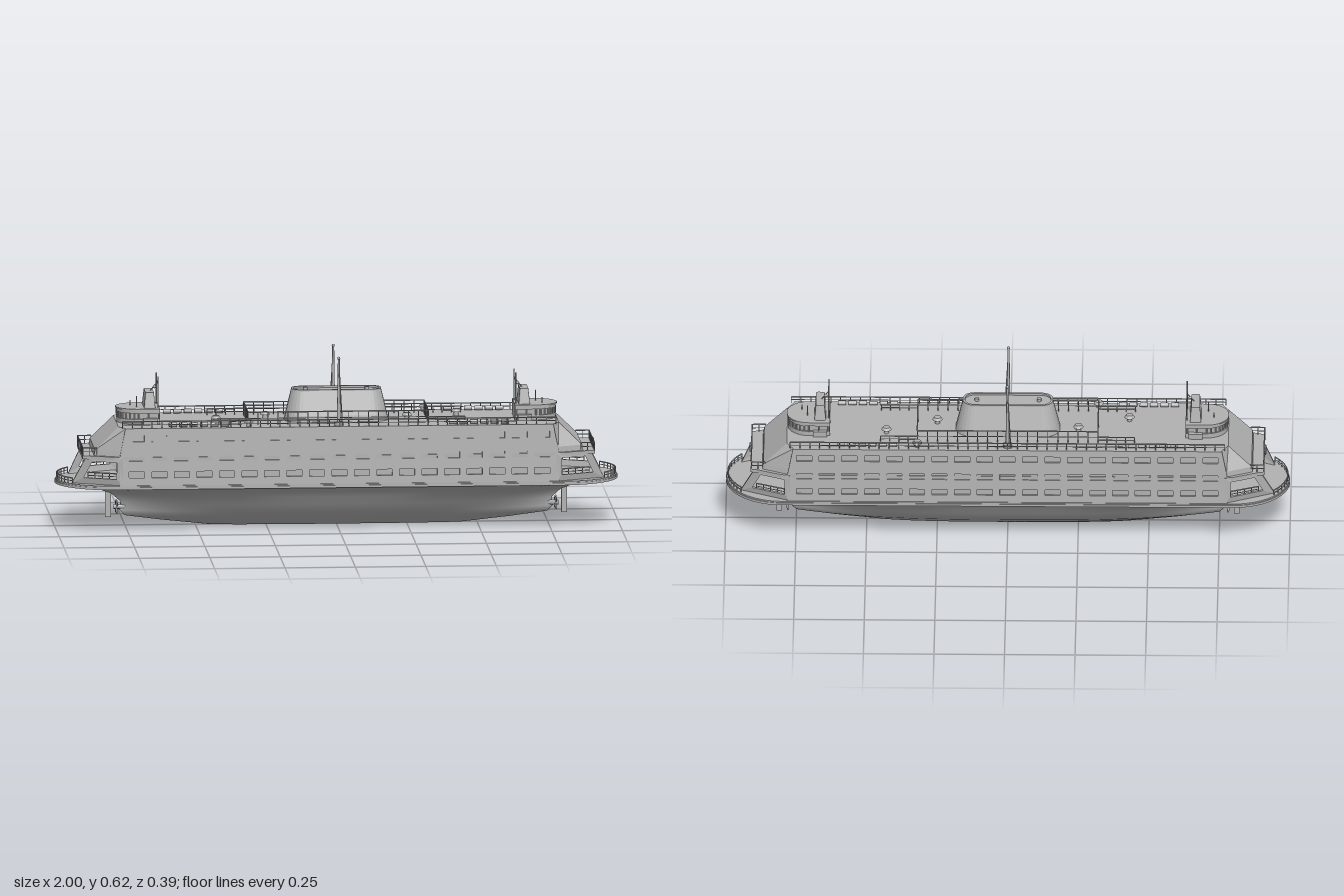
import * as THREE from 'three';
import { mergeGeometries } from 'three/addons/utils/BufferGeometryUtils.js';

const grey = new THREE.MeshStandardMaterial({ color: 0xb2b2b2, side: THREE.DoubleSide });
grey.name = 'hull grey';
const V = (x, y, z) => new THREE.Vector3(x, y, z);
const ROOF = 0.373, DECK = 0.17;

function add(parent, name, geo) {
  const m = new THREE.Mesh(geo, grey);
  m.name = name;
  parent.add(m);
  return m;
}
const merge = (list) => mergeGeometries(list.map((g) => {
  const n = g.index ? g.toNonIndexed() : g;
  n.deleteAttribute('uv');
  return n;
}));
const box = (w, h, d, x, y, z) => new THREE.BoxGeometry(w, h, d).translate(x, y, z);
const cyl = (r0, r1, h, x, y, z, n = 14) => new THREE.CylinderGeometry(r1, r0, h, n).translate(x, y + h / 2, z);

// round bar between two points
function bar(a, b, r = 0.002) {
  const d = b.clone().sub(a);
  const g = new THREE.CylinderGeometry(r, r, d.length(), 5);
  g.applyQuaternion(new THREE.Quaternion().setFromUnitVectors(V(0, 1, 0), d.normalize()));
  return g.translate((a.x + b.x) / 2, (a.y + b.y) / 2, (a.z + b.z) / 2);
}

// railing along a list of [x, z] points
function rail(pts, y, h, step = 0.03, rows = 2) {
  const out = [];
  for (let i = 0; i + 1 < pts.length; i++) {
    const a = V(pts[i][0], y, pts[i][1]), b = V(pts[i + 1][0], y, pts[i + 1][1]);
    for (let k = 1; k <= rows; k++) {
      const up = V(0, h * k / rows, 0);
      out.push(bar(a.clone().add(up), b.clone().add(up), k === rows ? 0.0025 : 0.0015));
    }
    const n = Math.max(1, Math.round(a.distanceTo(b) / step));
    for (let k = 0; k <= n; k++) {
      const p = a.clone().lerp(b, k / n);
      out.push(bar(p, p.clone().add(V(0, h, 0)), 0.0018));
    }
  }
  return merge(out);
}

// faceted skin through closed rings of points, capped at both ends
function loft(rings) {
  const p = [], n = rings[0].length;
  const tri = (...v) => v.forEach((q) => p.push(q.x, q.y, q.z));
  for (let r = 0; r + 1 < rings.length; r++) for (let i = 0; i < n; i++) {
    const j = (i + 1) % n, A = rings[r], B = rings[r + 1];
    tri(A[i], A[j], B[j]);
    tri(A[i], B[j], B[i]);
  }
  const lo = rings[0], hi = rings[rings.length - 1];
  for (let i = 1; i + 1 < n; i++) {
    tri(lo[0], lo[i + 1], lo[i]);
    tri(hi[0], hi[i], hi[i + 1]);
  }
  const g = new THREE.BufferGeometry();
  g.setAttribute('position', new THREE.Float32BufferAttribute(p, 3));
  g.computeVertexNormals();
  return g;
}
// rounded-rectangle ring, anticlockwise seen from above
function roundRing(hx, hz, r, y, cx = 0) {
  const pts = [];
  [[1, 1], [-1, 1], [-1, -1], [1, -1]].forEach(([sx, sz], q) => {
    for (let i = 0; i <= 6; i++) {
      const a = (q + i / 6) * Math.PI / 2;
      pts.push(V(cx + sx * (hx - r) + r * Math.cos(a), y, -(sz * (hz - r) + r * Math.sin(a))));
    }
  });
  return pts;
}
const slab = (shape, y, h) => new THREE.ExtrudeGeometry(shape, { depth: h, bevelEnabled: false, curveSegments: 20 })
  .rotateX(-Math.PI / 2).translate(0, y, 0);
const polygon = (pts) => new THREE.Shape(pts.map(([x, y]) => new THREE.Vector2(x, y)));
function rectHole(shape, x, y, w, h) {
  shape.holes.push(new THREE.Path([[-1, -1], [-1, 1], [1, 1], [1, -1]].map(([a, b]) => new THREE.Vector2(x + a * w / 2, y + b * h / 2))));
}

// hull lofted from waterlines: [y, half length, half beam, fullness, end power]
function hullGeometry() {
  const lines = [[0, 0.45, 0.021, 3, 0.7], [0.018, 0.62, 0.045, 3, 0.9], [0.035, 0.75, 0.07, 3, 1], [0.055, 0.77, 0.092, 3, 1],
    [0.085, 0.765, 0.115, 3.2, 1], [0.115, 0.8, 0.134, 3.6, 0.9], [0.135, 0.86, 0.15, 4.5, 0.8], [0.158, 0.985, 0.187, 7, 0.6]];
  const N = 48, pos = [], idx = [], row = 2 * N;
  for (const [y, L, B, p, q] of lines) for (let i = 0; i < row; i++) {
    const a = i / row * Math.PI * 2, s = Math.cos(a);
    const z = B * Math.pow(Math.max(0, 1 - Math.pow(Math.abs(s), p)), q);
    pos.push(L * s, y, -Math.sign(Math.sin(a)) * z);
  }
  for (let r = 0; r + 1 < lines.length; r++) for (let i = 0; i < row; i++) {
    const a = r * row + i, b = r * row + (i + 1) % row;
    idx.push(a, b, b + row, a, b + row, a + row);
  }
  for (let i = 1; i + 1 < row; i++) idx.push(0, i + 1, i);
  const g = new THREE.BufferGeometry();
  g.setAttribute('position', new THREE.Float32BufferAttribute(pos, 3));
  g.setIndex(idx);
  g.computeVertexNormals();
  return g;
}

// outline of the main deck
const deckPoint = (a, k = 1) => [0.8 + 0.2 * k * Math.cos(a), 0.193 * k * Math.sin(a)];
function deckShape(k) {
  const pts = [];
  for (let i = 0; i <= 24; i++) pts.push(deckPoint(-Math.PI / 2 + i / 24 * Math.PI, k));
  return polygon(pts.concat(pts.map(([x, z]) => [-x, -z])));
}

// one end of the ship, facing +x
function buildEnd() {
  const g = new THREE.Group();
  g.name = 'shipEnd';
  // open side frames beside the vehicle entrance, curving inward with the deck
  for (const s of [1, -1]) {
    const f = polygon([[0.77, DECK], [0.945, DECK], [0.895, 0.27], [0.77, 0.27]]);
    f.holes.push(new THREE.Path([[0.79, 0.192], [0.79, 0.252], [0.875, 0.252], [0.905, 0.192]].map((p) => new THREE.Vector2(...p))));
    const geo = new THREE.ExtrudeGeometry(f, { depth: 0.01, bevelEnabled: false });
    const p = geo.attributes.position;
    for (let i = 0; i < p.count; i++) {
      const t = Math.max(0, (p.getX(i) - 0.77) / 0.17);
      p.setZ(i, s * (0.176 + p.getZ(i) - 0.076 * Math.pow(t, 1.3)));
    }
    geo.computeVertexNormals();
    add(g, 'entranceFrame', geo);
    add(g, 'sideRail', rail([[0.79, s * 0.175], [0.89, s * 0.135]], 0.19, 0.022, 0.025));
  }
  // balcony over the entrance
  add(g, 'balcony', slab(polygon([[0.75, -0.183], [0.8, -0.18], [0.885, -0.145], [0.91, -0.14], [0.91, 0.14], [0.885, 0.145], [0.8, 0.18], [0.75, 0.183]]), 0.26, 0.012));
  add(g, 'balconyRail', rail([[0.86, -0.14], [0.908, -0.138], [0.908, 0.138], [0.86, 0.14]], 0.272, 0.028, 0.02));
  for (const s of [1, -1]) add(g, 'lifebuoy', new THREE.TorusGeometry(0.009, 0.0025, 6, 16).rotateY(Math.PI / 2).translate(0.913, 0.285, s * 0.014));
  // bow rail
  const arc = [];
  for (let i = 0; i <= 12; i++) arc.push(deckPoint((i / 6 - 1) * 0.72, 0.96));
  add(g, 'bowRail', rail(arc, DECK, 0.02, 0.022));
  // wheelhouse
  const dShape = (k) => {
    const s = new THREE.Shape();
    s.moveTo(0.63, -0.075 * k);
    s.lineTo(0.705, -0.075 * k);
    s.absarc(0.705, 0, 0.075 * k, -Math.PI / 2, Math.PI / 2, false);
    s.lineTo(0.63, 0.075 * k);
    return s;
  };
  add(g, 'wheelhouseBase', slab(dShape(1), ROOF, 0.017));
  add(g, 'wheelhouseWindows', slab(dShape(0.93), 0.39, 0.022));
  add(g, 'wheelhouseTop', slab(dShape(1), 0.411, 0.012));
  add(g, 'wheelhouseRoof', slab(dShape(1.05), 0.422, 0.005));
  const posts = [];
  for (let i = 0; i <= 14; i++) {
    const a = (i / 14 - 0.5) * Math.PI, x = 0.705 + 0.073 * Math.cos(a), z = 0.073 * Math.sin(a);
    posts.push(bar(V(x, 0.388, z), V(x, 0.413, z), 0.003));
  }
  for (const x of [0.635, 0.67]) for (const z of [0.073, -0.073]) posts.push(bar(V(x, 0.388, z), V(x, 0.413, z), 0.003));
  add(g, 'wheelhousePosts', merge(posts));
  // stack casing and signal frame behind the wheelhouse
  add(g, 'casingFoot', box(0.05, 0.02, 0.17, 0.665, ROOF + 0.01, 0));
  add(g, 'casing', loft([roundRing(0.022, 0.066, 0.006, ROOF, 0.665), roundRing(0.02, 0.06, 0.006, 0.43, 0.665), roundRing(0.015, 0.05, 0.006, 0.482, 0.665)]));
  add(g, 'signalFrame', merge([
    ...[1, -1].map((s) => bar(V(0.635, 0.4, s * 0.042), V(0.635, 0.538, s * 0.042), 0.0025)),
    bar(V(0.635, 0.512, -0.042), V(0.635, 0.512, 0.042), 0.0025),
    bar(V(0.635, 0.512, 0), V(0.66, 0.48, 0), 0.002),
    new THREE.SphereGeometry(0.006, 8, 6).translate(0.645, 0.495, 0)]));
  add(g, 'aerials', merge([bar(V(0.73, 0.425, 0.02), V(0.73, 0.445, 0.02)), bar(V(0.71, 0.425, -0.022), V(0.71, 0.465, -0.022))]));
  // rudder and propeller
  add(g, 'rudder', box(0.02, 0.128, 0.006, 0.81, 0.094, 0));
  add(g, 'shaft', bar(V(0.7, 0.066, 0), V(0.79, 0.066, 0), 0.009));
  for (let i = 0; i < 4; i++) {
    const blade = new THREE.SphereGeometry(1, 8, 6).scale(0.003, 0.014, 0.008).rotateY(0.5).translate(0, 0.018, 0);
    add(g, 'propellerBlade', blade.rotateX((i + 0.5) * Math.PI / 2).translate(0.78, 0.066, 0));
  }
  // inner roof rails and vents
  add(g, 'crossRail', rail([[0.32, -0.115], [0.32, 0.115]], ROOF, 0.045));
  for (const s of [1, -1]) add(g, 'innerRail', rail([[0.32, s * 0.115], [0.45, s * 0.115]], ROOF, 0.022));
  for (const [x, z] of [[0.25, 0.025], [0.43, -0.05], [0.32, -0.15]])
    add(g, 'vent', merge([cyl(0.009, 0.009, 0.018, x, ROOF, z), cyl(0.018, 0.012, 0.01, x, ROOF + 0.014, z)]));
  return g;
}

// one long side of the ship, facing +z
function buildSide() {
  const g = new THREE.Group();
  g.name = 'shipSide';
  // wall with recessed windows, leaning slightly inward
  const wall = polygon([[-0.78, DECK - 0.005], [0.78, DECK - 0.005], [0.78, 0.27], [0.76, ROOF], [-0.76, ROOF], [-0.78, 0.27]]);
  for (const y of [0.208, 0.268, 0.337]) for (let i = -9; i <= 9; i++) rectHole(wall, i * 0.08, y, 0.054, 0.022);
  const geo = new THREE.ExtrudeGeometry(wall, { depth: 0.008, bevelEnabled: false });
  const p = geo.attributes.position;
  for (let i = 0; i < p.count; i++) p.setZ(i, p.getZ(i) + 0.179 - 0.05 * (p.getY(i) - DECK));
  geo.computeVertexNormals();
  add(g, 'windowWall', geo);
  // roof rails, raft canisters and mast
  add(g, 'roofEdgeRail', rail([[-0.77, 0.168], [0.77, 0.168]], ROOF, 0.024, 0.035));
  add(g, 'innerRail', rail([[-0.32, 0.115], [0.32, 0.115]], ROOF, 0.045, 0.035));
  for (const s of [1, -1]) for (let i = 0; i < 6; i++)
    add(g, 'raftCanister', new THREE.CylinderGeometry(0.008, 0.008, 0.028, 10).rotateZ(Math.PI / 2).translate(s * (0.405 + i * 0.037), ROOF + 0.009, 0.152));
  add(g, 'mast', merge([cyl(0.007, 0.0035, 0.24, 0, ROOF, 0.145, 8), bar(V(0.012, ROOF, 0.16), V(0, 0.6, 0.146), 0.002),
    cyl(0.017, 0.017, 0.012, 0, ROOF, 0.147), new THREE.SphereGeometry(0.0055, 8, 6).translate(0, 0.613, 0.145)]));
  return g;
}

export function createModel() {
  const ship = new THREE.Group();
  ship.name = 'ferry';
  add(ship, 'hull', hullGeometry());
  add(ship, 'rubbingBand', slab(deckShape(1), 0.156, 0.009));
  add(ship, 'mainDeck', slab(deckShape(0.985), 0.163, 0.007));
  // enclosed body: lower vehicle hall and upper cabin with chamfered sloping ends
  add(ship, 'vehicleHall', box(1.54, 0.105, 0.358, 0, 0.2175, 0));
  const ring = (y, x0, z0, x1, z1) => [[x0, z0], [x1, z1], [-x1, z1], [-x0, z0], [-x0, -z0], [-x1, -z1], [x1, -z1], [x0, -z0]].map(([x, z]) => V(x, y, -z));
  add(ship, 'upperCabin', loft([ring(0.265, 0.87, 0.138, 0.78, 0.177), ring(0.292, 0.865, 0.137, 0.777, 0.176), ring(ROOF, 0.782, 0.132, 0.758, 0.172)]));
  // funnel with a rimmed top
  add(ship, 'funnel', loft([roundRing(0.185, 0.075, 0.06, ROOF), roundRing(0.18, 0.072, 0.058, 0.395), roundRing(0.16, 0.048, 0.042, 0.48),
    roundRing(0.16, 0.048, 0.042, 0.485), roundRing(0.152, 0.04, 0.035, 0.485), roundRing(0.152, 0.04, 0.035, 0.478)]));
  for (const x of [-0.11, 0.11]) add(ship, 'exhaustPipe', cyl(0.008, 0.008, 0.012, x, 0.476, 0));
  for (const turn of [0, Math.PI]) for (const build of [buildEnd, buildSide]) {
    const part = build();
    part.rotation.y = turn;
    ship.add(part);
  }
  return ship;
}
